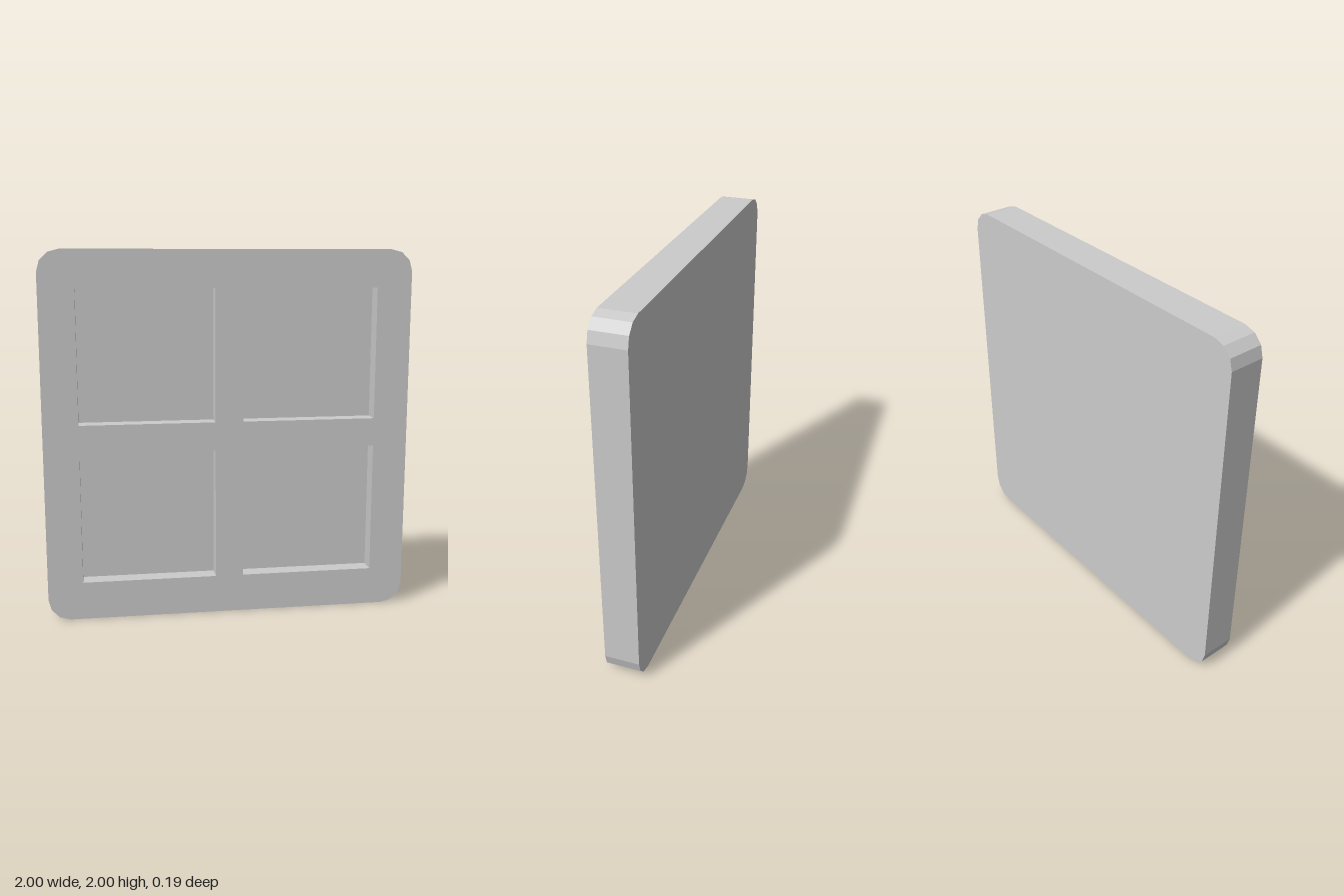
import * as THREE from 'three';

const HALF_DEPTH = 0.094; // half the slab thickness
const FLOOR_Z = 0;        // depth at which the recesses end
const CORNER = 0.118;
const CORNER_STEPS = 3;

// Square outline with faceted round corners, counter-clockwise
function outline() {
  const points = [];
  const c = 1 - CORNER;
  [[c, c], [-c, c], [-c, -c], [c, -c]].forEach(([cx, cy], corner) => {
    for (let i = 0; i <= CORNER_STEPS; i++) {
      const a = (corner + i / CORNER_STEPS) * Math.PI / 2;
      points.push(new THREE.Vector2(cx + CORNER * Math.cos(a), 1 + cy + CORNER * Math.sin(a)));
    }
  });
  return new THREE.Shape(points);
}

// Clockwise rectangular hole
function pane(x0, x1, y0, y1) {
  return new THREE.Path([[x0, y0], [x0, y1], [x1, y1], [x1, y0]].map(([x, y]) => new THREE.Vector2(x, y)));
}

export function createModel() {
  const group = new THREE.Group();
  group.name = 'windowPanel';
  const material = new THREE.MeshStandardMaterial({ color: 0xcccccc, flatShading: true });

  const addSlab = (name, shape, z0, z1) => {
    const geometry = new THREE.ExtrudeGeometry(shape, { depth: z1 - z0, bevelEnabled: false });
    geometry.translate(0, 0, z0);
    const mesh = new THREE.Mesh(geometry, material);
    mesh.name = name;
    group.add(mesh);
  };

  // Front frame with four recesses and a cross of bars between them
  const frame = outline();
  for (const [x0, x1] of [[-0.81, -0.077], [0.077, 0.81]]) {
    for (const [y0, y1] of [[0.208, 0.925], [1.08, 1.797]]) frame.holes.push(pane(x0, x1, y0, y1));
  }
  addSlab('frame', frame, FLOOR_Z, HALF_DEPTH);

  // Solid back, whose front face is the floor of the recesses
  addSlab('backPanel', outline(), -HALF_DEPTH, FLOOR_Z);

  return group;
}
